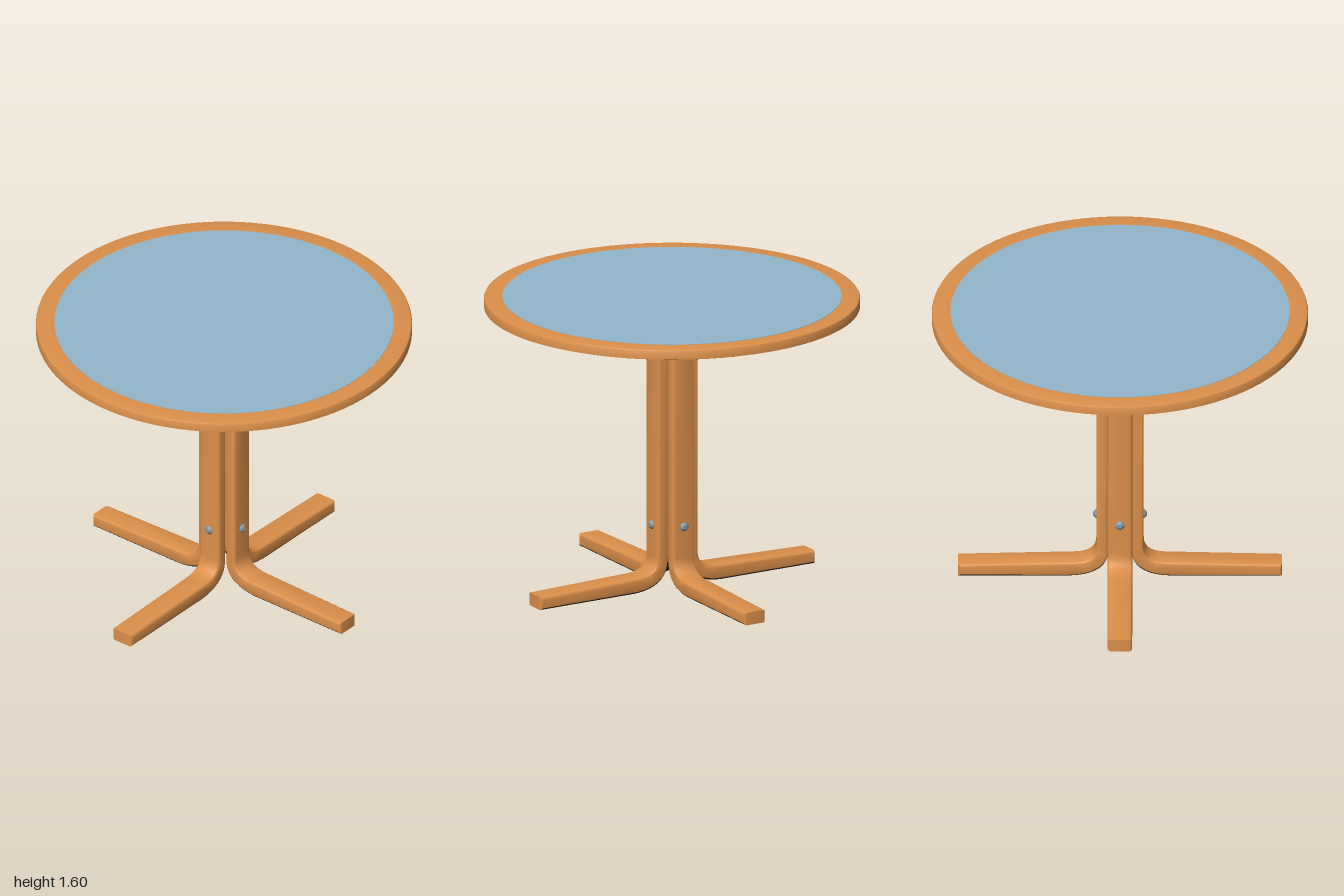
import * as THREE from 'three';
import { toCreasedNormals } from 'three/addons/utils/BufferGeometryUtils.js';

const material = (name, color) => {
  const m = new THREE.MeshStandardMaterial({ color });
  m.name = name;
  return m;
};

// Bent leg and foot in one piece: side profile extruded across its width
function legGeometry(reach) {
  const s = new THREE.Shape();
  s.moveTo(0.062, 1.545);
  s.lineTo(0.062, 0.15);
  s.bezierCurveTo(0.062, 0.06, 0.13, 0.004, 0.27, 0);
  s.lineTo(reach, 0);
  s.lineTo(reach, 0.07);
  s.lineTo(0.24, 0.085);
  s.bezierCurveTo(0.165, 0.088, 0.127, 0.115, 0.126, 0.18);
  s.lineTo(0.126, 1.545);
  s.closePath();
  const bevel = 0.016, width = 0.132;
  let g = new THREE.ExtrudeGeometry(s, {
    depth: width - 2 * bevel, curveSegments: 14,
    bevelEnabled: true, bevelThickness: bevel, bevelSize: bevel, bevelOffset: -bevel, bevelSegments: 4,
  });
  g.translate(0, 0, -width / 2 + bevel);
  g = toCreasedNormals(g, 0.7);

  // Dark sole: every face low down that looks toward the floor
  g.clearGroups();
  const p = g.attributes.position, tri = new THREE.Triangle(), n = new THREE.Vector3(), c = new THREE.Vector3();
  let start = 0, current = -1;
  for (let i = 0; i < p.count; i += 3) {
    tri.setFromAttributeAndIndices(p, i, i + 1, i + 2);
    tri.getNormal(n);
    tri.getMidpoint(c);
    const index = n.y < -0.4 && c.y < 0.13 ? 1 : 0;
    if (index !== current) {
      if (current >= 0) g.addGroup(start, i - start, current);
      start = i;
      current = index;
    }
  }
  g.addGroup(start, p.count - start, current);
  return g;
}

export function createModel() {
  const wood = material('wood', 0xdb8f4a);
  const blue = material('blueTop', 0x93b7cb);
  const grey = material('greyUnderside', 0x7e8386);
  const dark = material('darkSole', 0x2b2d2a);
  const steel = material('steel', 0x8296a3);

  const model = new THREE.Group();
  model.name = 'roundTable';
  const add = (parent, name, geometry, mat) => {
    const mesh = new THREE.Mesh(geometry, mat);
    mesh.name = name;
    parent.add(mesh);
    return mesh;
  };

  // Tabletop: wooden rim, blue inset and grey underside
  const top = new THREE.Group();
  top.name = 'tabletop';
  model.add(top);
  const rim = [[0.985, 1.54], [1, 1.545], [1, 1.588], [0.996, 1.595], [0.985, 1.598], [0.9, 1.598], [0.9, 1.58]];
  const rimGeometry = new THREE.LatheGeometry(rim.map(([r, y]) => new THREE.Vector2(r, y)), 96);
  add(top, 'rim', toCreasedNormals(rimGeometry.toNonIndexed(), 0.6), wood);
  add(top, 'inset', new THREE.CylinderGeometry(0.902, 0.902, 0.02, 96), blue).position.y = 1.59;
  add(top, 'underside', new THREE.CircleGeometry(0.99, 96).rotateX(Math.PI / 2), grey).position.y = 1.54;

  // Bolt with washer and domed head, axis along +x
  const boltProfile = [[0.025, 0], [0.025, 0.004], [0.021, 0.007], [0.018, 0.012], [0.011, 0.017], [0.007, 0.018], [0.006, 0.013], [0, 0.013]];
  const boltGeometry = new THREE.LatheGeometry(boltProfile.map(([r, y]) => new THREE.Vector2(r, y)), 20);
  boltGeometry.rotateZ(-Math.PI / 2);

  // Four legs around the centre, each with its bolt
  const sideLeg = legGeometry(0.86), frontLeg = legGeometry(0.85);
  ['left', 'back', 'right', 'front'].forEach((side, i) => {
    const leg = new THREE.Group();
    leg.name = side + 'Leg';
    leg.rotation.y = i * Math.PI / 2;
    add(leg, side + 'LegAndFoot', i % 2 ? frontLeg : sideLeg, [wood, dark]);
    add(leg, side + 'Bolt', boltGeometry, steel).position.set(0.125, 0.35, 0);
    model.add(leg);
  });
  return model;
}
